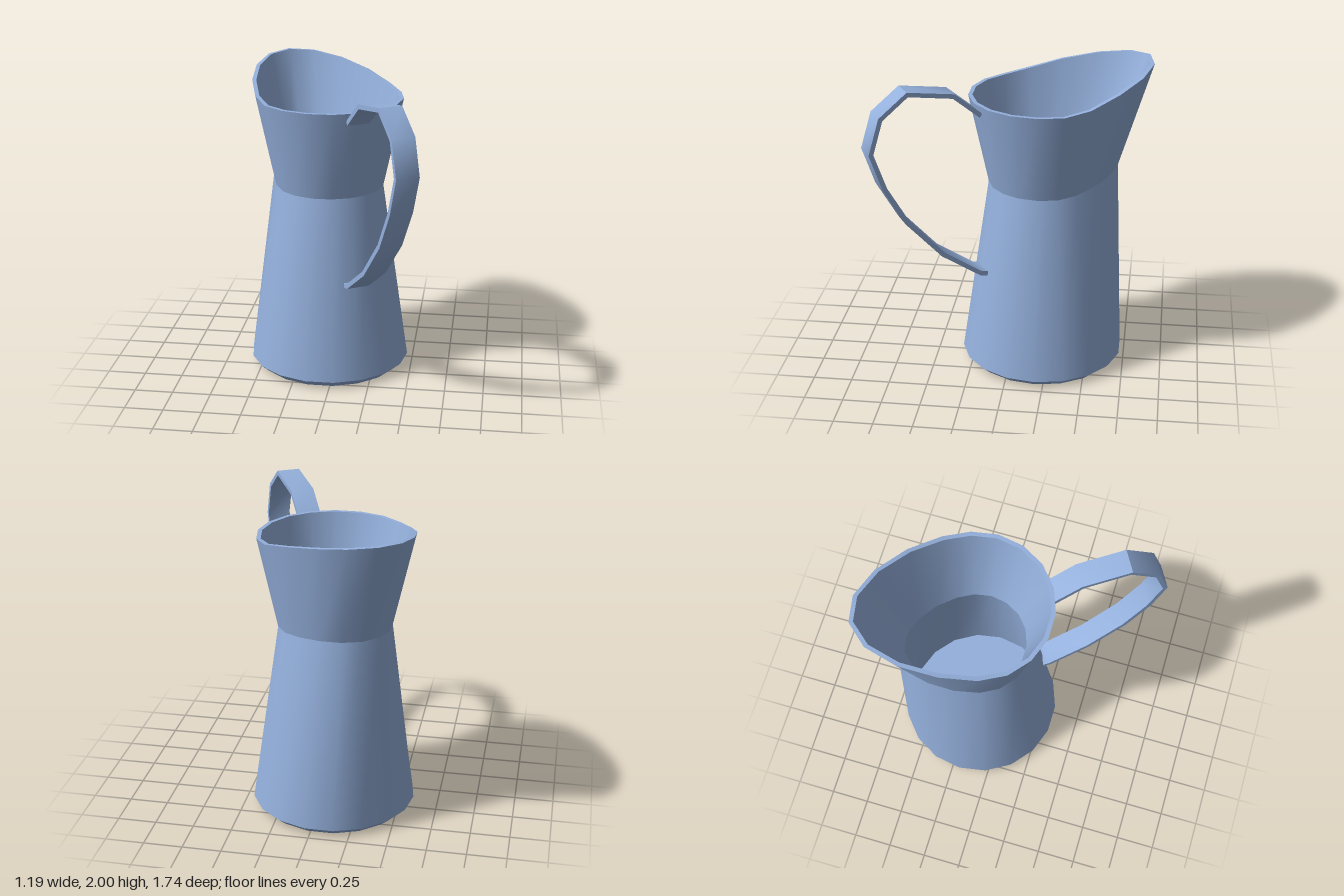
import * as THREE from 'three';
import { toCreasedNormals, mergeGeometries } from 'three/addons/utils/BufferGeometryUtils.js';

const SIDES = 18;

// One ring of the jug; the spout side (-x) is pulled out by `pull` and raised by `lift`.
function ring([r, y, pull = 0, lift = 0]) {
  return Array.from({ length: SIDES }, (_, i) => {
    const a = (i / SIDES) * Math.PI * 2;
    const s = Math.max(0, -Math.cos(a));
    return [r * Math.cos(a) - pull * s ** 1.8, y + lift * s ** 1.15, r * Math.sin(a)];
  });
}

// A closed strip between two rings, smooth around and sharp at its borders.
function band(from, to) {
  const index = [];
  for (let i = 0; i < SIDES; i++) {
    const j = (i + 1) % SIDES;
    index.push(i, SIDES + i, j, SIDES + i, SIDES + j, j);
  }
  const geo = new THREE.BufferGeometry();
  geo.setAttribute('position', new THREE.Float32BufferAttribute([...ring(from), ...ring(to)].flat(), 3));
  geo.setIndex(index);
  geo.computeVertexNormals();
  return geo;
}

// Flat strap outline: the outer path plus the same path moved inwards.
function strapShape(path, thickness) {
  const pts = path.map(([x, y]) => new THREE.Vector2(x, y));
  const inner = pts.map((p, i) => {
    const before = p.clone().sub(pts[Math.max(i - 1, 0)]).normalize();
    const after = pts[Math.min(i + 1, pts.length - 1)].clone().sub(p).normalize();
    const t = before.add(after).normalize();
    return new THREE.Vector2(p.x + t.y * thickness, p.y - t.x * thickness);
  });
  return new THREE.Shape([...pts, ...inner.reverse()]);
}

export function createModel() {
  const model = new THREE.Group();
  model.name = 'jug';
  const material = new THREE.MeshStandardMaterial({ color: 0x94b0dc });

  // Spout and handle lie on one line, turned away from the front.
  const jug = new THREE.Group();
  jug.name = 'turnedJug';
  jug.position.set(-0.063, 0, -0.197);
  jug.rotation.y = -Math.PI / 3;
  model.add(jug);

  // Body: up the outside, over the rim, down the inside to the floor.
  const profile = [
    [0, 0], [0.475, 0], [0.532, 0.05],
    [0.355, 1.25, 0.155, 0.08],
    [0.48, 1.835, 0.265, 0.165],
    [0.453, 1.835, 0.265, 0.165],
    [0.313, 1.25, 0.155, 0.08],
    [0.49, 0.05], [0, 0.05],
  ];
  const bands = profile.slice(1).map((p, i) => band(profile[i], p));
  const body = new THREE.Mesh(mergeGeometries(bands), material);
  body.name = 'body';
  jug.add(body);

  // Handle: a flat strap arching from below the rim to the lower wall.
  const path = [
    [0.45, 1.785], [0.63, 1.935], [0.934, 1.985], [1.116, 1.845], [1.186, 1.62],
    [1.106, 1.38], [0.966, 1.13], [0.736, 0.87], [0.476, 0.685], [0.425, 0.675],
  ];
  const width = 0.15;
  const strap = new THREE.ExtrudeGeometry(strapShape(path, 0.03), { depth: width, bevelEnabled: false });
  strap.translate(0, 0, -width / 2);
  const handle = new THREE.Mesh(toCreasedNormals(strap, 0.7), material);
  handle.name = 'handle';
  jug.add(handle);

  return model;
}
